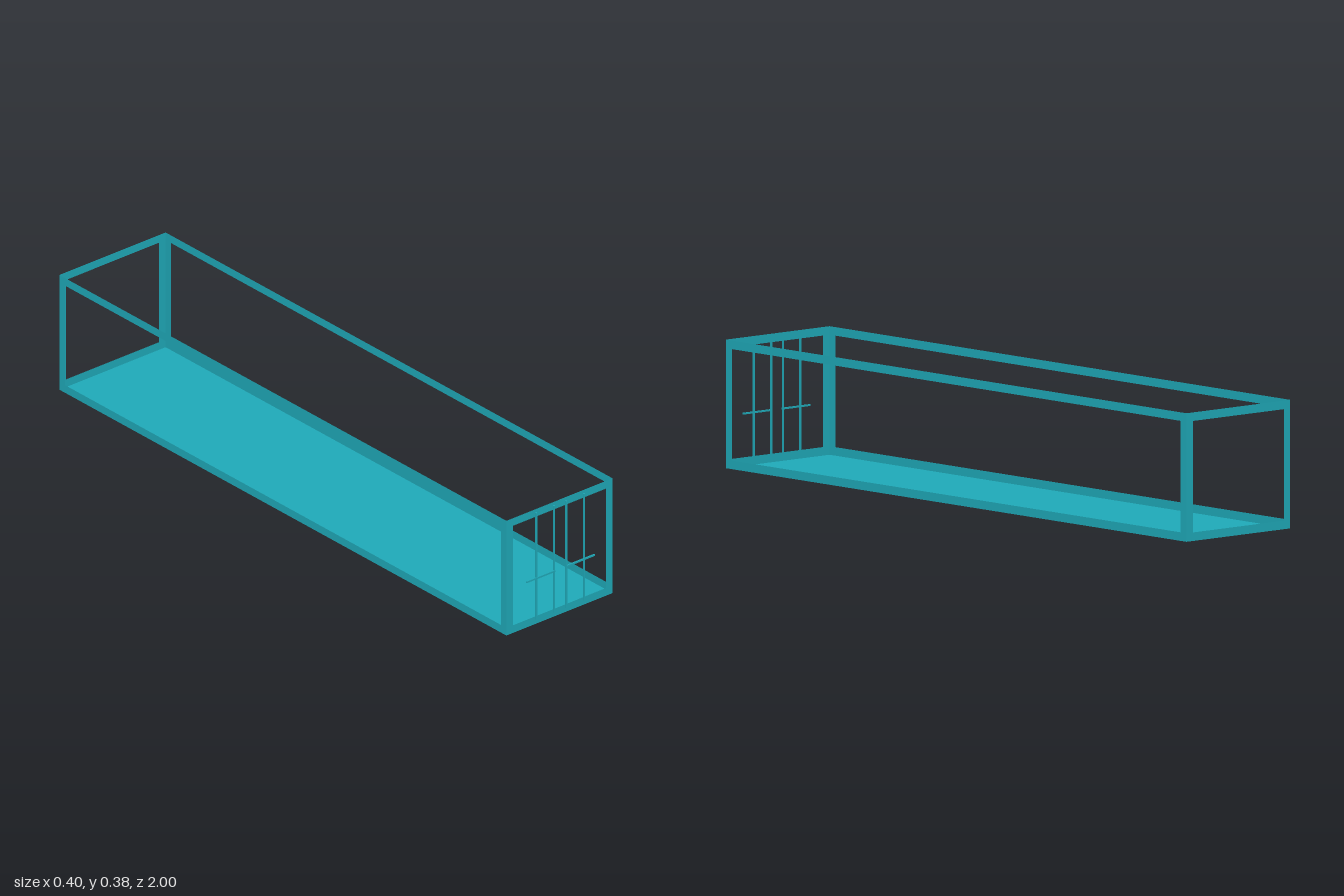
import * as THREE from 'three';

const W = 0.404, H = 0.376, RAIL = 0.025;
const BACK = -1, FRONT = 0.993;
const LEN = FRONT - BACK, MID = (FRONT + BACK) / 2;

// Flat rectangular frame, w wide, standing from y = 0 to H
function frameGeometry(w) {
  const rect = (P, x, y0, y1) =>
    new P([[-x, y0], [x, y0], [x, y1], [-x, y1]].map(p => new THREE.Vector2(...p)));
  const shape = rect(THREE.Shape, w / 2, 0, H);
  shape.holes.push(rect(THREE.Path, w / 2 - RAIL, RAIL, H - RAIL));
  return new THREE.ShapeGeometry(shape);
}

export function createModel() {
  const model = new THREE.Group();
  model.name = 'openContainer';
  const material = new THREE.MeshStandardMaterial({ color: 0x1fa9b8, side: THREE.DoubleSide });

  function add(name, geometry, x, y, z, parent = model) {
    const mesh = new THREE.Mesh(geometry, material);
    mesh.name = name;
    mesh.position.set(x, y, z);
    parent.add(mesh);
    return mesh;
  }

  // Floor sheet
  add('floor', new THREE.PlaneGeometry(W, LEN).rotateX(-Math.PI / 2), 0, 0, MID);

  // End frames and long side frames, all thin sheets
  const end = frameGeometry(W), side = frameGeometry(LEN);
  add('frontFrame', end, 0, 0, FRONT);
  add('backFrame', end, 0, 0, BACK).rotation.y = Math.PI;
  add('leftFrame', side, W / 2, 0, MID).rotation.y = Math.PI / 2;
  add('rightFrame', side, -W / 2, 0, MID).rotation.y = -Math.PI / 2;

  // Door locking rods and handles, mirrored about the middle
  const rod = new THREE.BoxGeometry(0.005, 0.35, 0.005);
  const handle = new THREE.BoxGeometry(0.108, 0.005, 0.005);
  for (const [label, s] of [['left', 1], ['right', -1]]) {
    const lock = new THREE.Group();
    lock.name = label + 'DoorLock';
    model.add(lock);
    add('innerRod', rod, s * 0.023, 0.19, FRONT + 0.0025, lock);
    add('outerRod', rod, s * 0.091, 0.19, FRONT + 0.0025, lock);
    add('handle', handle, s * 0.076, 0.152, FRONT + 0.0045, lock);
  }
  return model;
}
